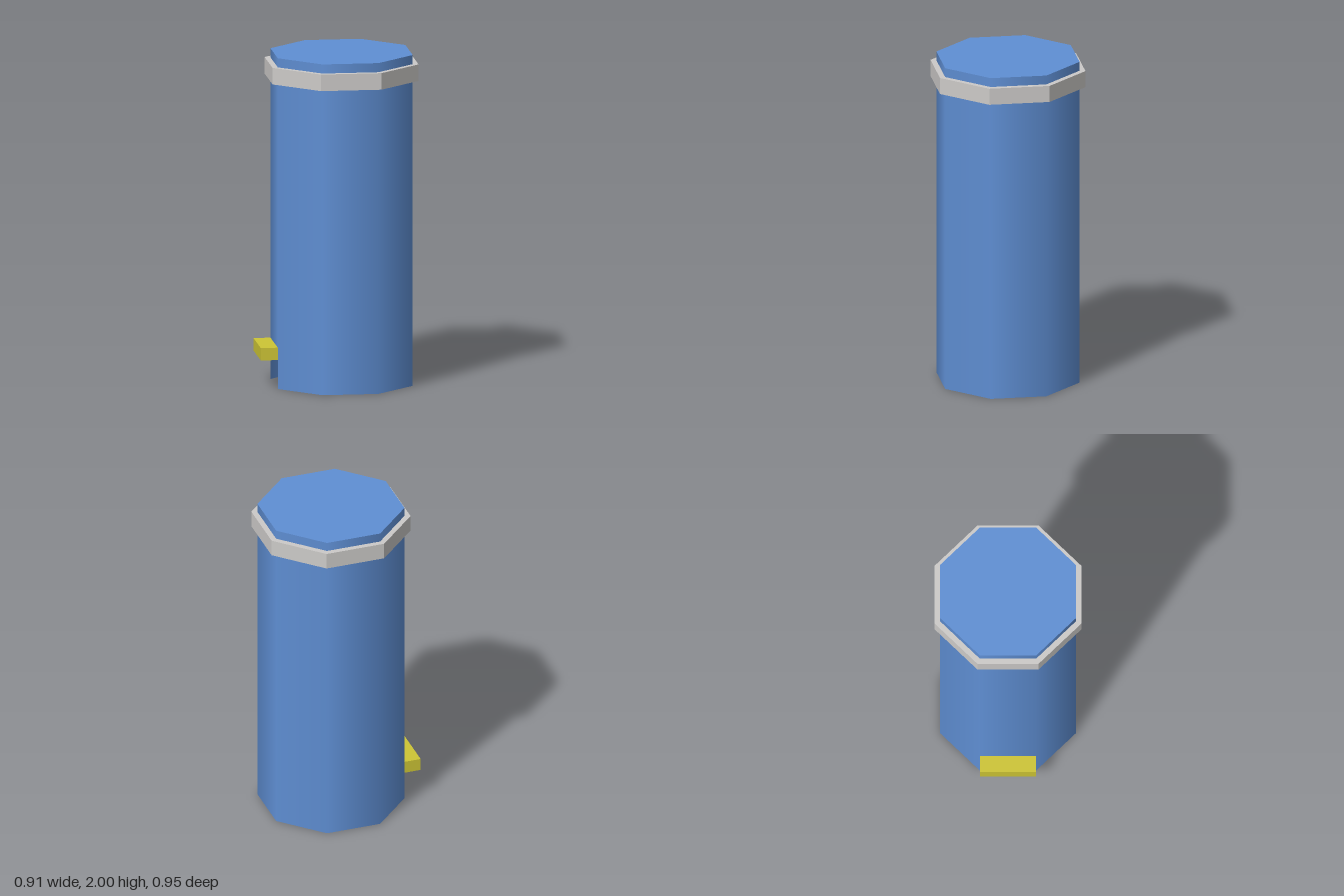
import * as THREE from 'three';

const SIDES = 8, STEP = Math.PI / 4;
const START = THREE.MathUtils.degToRad(-17.2); // corner beside the front opening
const RADIUS = 0.438, RIM = 0.474;
const OPENING = 0.25; // height of the opening

const blue = new THREE.MeshStandardMaterial({ color: 0x5f8fd4, side: THREE.DoubleSide });
const grey = new THREE.MeshStandardMaterial({ color: 0xcccac8 });
const yellow = new THREE.MeshStandardMaterial({ color: 0xcdc535, side: THREE.DoubleSide });
blue.name = 'blue';
grey.name = 'light grey';
yellow.name = 'yellow';

function add(parent, name, geometry, material, y = 0) {
  const mesh = new THREE.Mesh(geometry, material);
  mesh.name = name;
  mesh.position.y = y;
  parent.add(mesh);
  return mesh;
}

// Octagon corners, laid out so that a -90 degree turn about x puts them flat
function octagon(r) {
  return Array.from({ length: SIDES }, (_, i) => {
    const a = START + i * STEP;
    return new THREE.Vector2(r * Math.sin(a), -r * Math.cos(a));
  });
}

export function createModel() {
  const model = new THREE.Group();
  model.name = 'pedalBin';
  const bin = new THREE.Group();
  bin.name = 'bin';
  bin.position.z = -0.022;
  model.add(bin);

  // Smooth-shaded walls, open underneath; the lower band leaves one side out
  const upperHeight = 2 - OPENING;
  add(bin, 'upperWall',
    new THREE.CylinderGeometry(RADIUS, RADIUS, upperHeight, SIDES, 1, true, START),
    blue, OPENING + upperHeight / 2);
  add(bin, 'lowerWall',
    new THREE.CylinderGeometry(RADIUS, RADIUS, OPENING, SIDES - 1, 1, true, START, STEP * (SIDES - 1)),
    blue, OPENING / 2);

  // Flat lid top
  const lid = new THREE.ShapeGeometry(new THREE.Shape(octagon(RADIUS)));
  lid.rotateX(-Math.PI / 2);
  add(bin, 'lidTop', lid, blue, 2);

  // Rim band around the lid
  const rimShape = new THREE.Shape(octagon(RIM));
  rimShape.holes.push(new THREE.Path(octagon(RADIUS)));
  const rim = new THREE.ExtrudeGeometry(rimShape, { depth: 0.1, bevelEnabled: false });
  rim.rotateX(-Math.PI / 2);
  add(bin, 'rimBand', rim, grey, 1.845);

  // Hollow pedal, open on its inner side (last box face dropped)
  const depth = 0.102, height = 0.075;
  const width = 2 * RADIUS * Math.sin(STEP / 2);
  const pedalGeo = new THREE.BoxGeometry(width, height, depth);
  pedalGeo.setIndex(Array.from(pedalGeo.index.array).slice(0, 30));
  pedalGeo.clearGroups();
  pedalGeo.translate(0, 0, RADIUS * Math.cos(STEP / 2) + depth / 2);
  const pedal = add(bin, 'pedal', pedalGeo, yellow, OPENING - height / 2);
  pedal.rotation.y = START - STEP / 2;

  return model;
}
